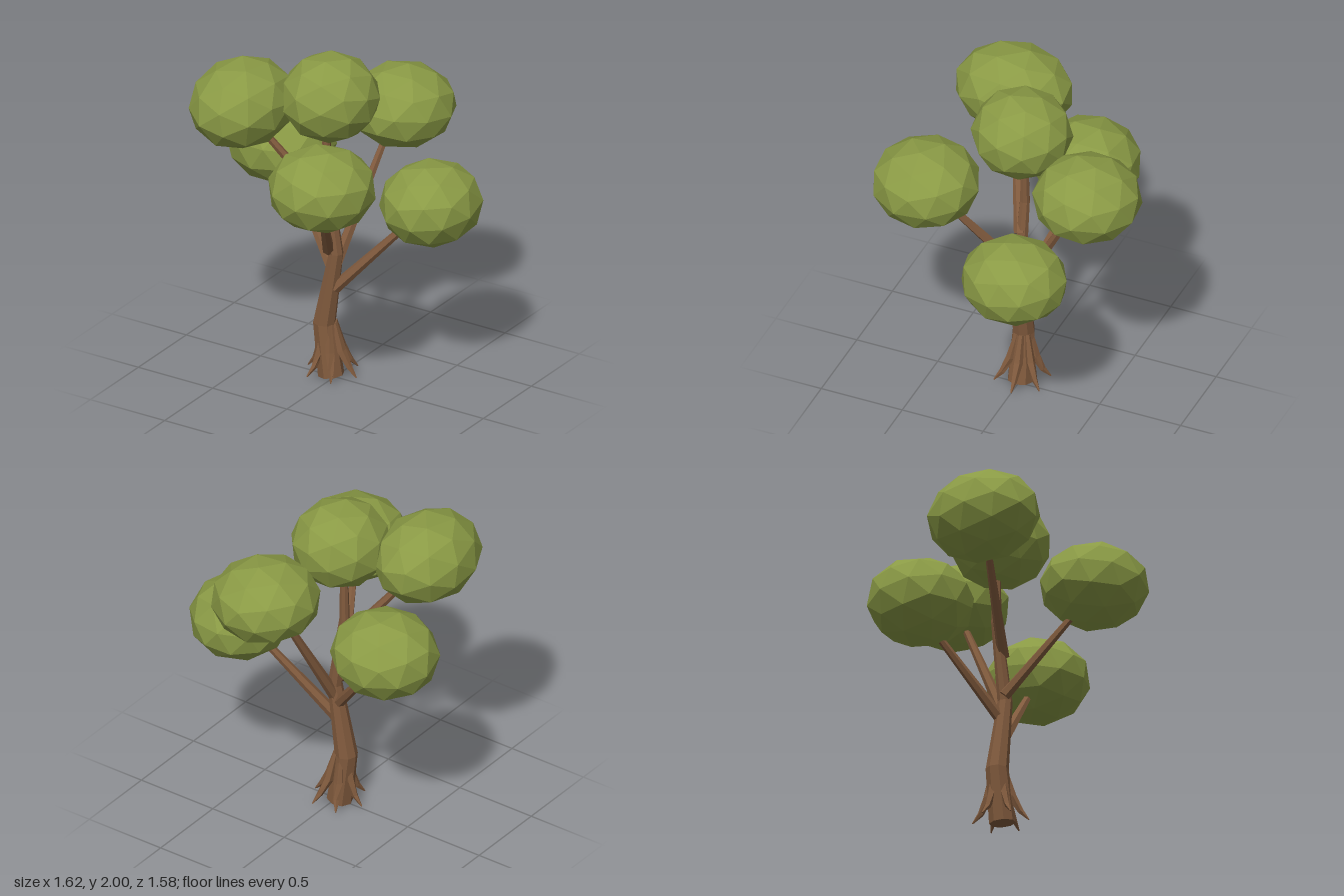
import * as THREE from 'three';

const bark = new THREE.MeshStandardMaterial({ color: 0x805a3d });
bark.name = 'bark brown';
const leaf = new THREE.MeshStandardMaterial({ color: 0x8a9a45 });
leaf.name = 'leaf green';

const UP = new THREE.Vector3(0, 1, 0);

// Faceted tapering limb: stops are [x, y, z, radius], capped at both ends
function limb(name, stops, sides) {
  const centres = stops.map(([x, y, z]) => new THREE.Vector3(x, y, z));
  const last = stops.length - 1;
  const rings = centres.map((c, i) => {
    const dir = centres[Math.min(i + 1, last)].clone().sub(centres[Math.max(i - 1, 0)]).normalize();
    const turn = new THREE.Quaternion().setFromUnitVectors(UP, dir);
    return Array.from({ length: sides }, (_, k) => {
      const a = (k / sides) * Math.PI * 2;
      return new THREE.Vector3(Math.cos(a), 0, Math.sin(a))
        .multiplyScalar(stops[i][3]).applyQuaternion(turn).add(c);
    });
  });
  const points = [];
  for (let k = 0; k < sides; k++) {
    const n = (k + 1) % sides;
    for (let i = 0; i < last; i++) {
      const low = rings[i], high = rings[i + 1];
      points.push(low[k], high[k], low[n], high[k], high[n], low[n]);
    }
    points.push(centres[0], rings[0][k], rings[0][n]);
    points.push(centres[last], rings[last][n], rings[last][k]);
  }
  const geometry = new THREE.BufferGeometry().setFromPoints(points);
  geometry.computeVertexNormals();
  const mesh = new THREE.Mesh(geometry, bark);
  mesh.name = name;
  return mesh;
}

// Faceted leaf clump, turned and then fitted to its centre and half sizes
function clump(name, centre, half, turn) {
  const geometry = new THREE.IcosahedronGeometry(1, 1);
  geometry.rotateX(turn).rotateY(turn * 2.3).rotateZ(turn * 0.7);
  geometry.center();
  geometry.computeBoundingBox();
  const { max } = geometry.boundingBox;
  geometry.scale(half[0] / max.x, half[1] / max.y, half[2] / max.z);
  geometry.translate(...centre);
  geometry.computeVertexNormals();
  const mesh = new THREE.Mesh(geometry, leaf);
  mesh.name = name;
  return mesh;
}

export function createModel() {
  const tree = new THREE.Group();
  tree.name = 'tree';

  // Bent trunk, running up into the top clump
  tree.add(limb('trunk', [
    [-0.025, 0.012, 0, 0.076],
    [-0.07, 0.33, 0, 0.066],
    [0.005, 0.78, -0.005, 0.043],
    [-0.065, 1.25, -0.01, 0.03],
    [-0.06, 1.65, -0.01, 0.02],
  ], 8));

  // Roots flaring out around the base
  const roots = new THREE.Group();
  roots.name = 'roots';
  for (let i = 0; i < 6; i++) {
    const a = (i / 6) * Math.PI * 2;
    const at = (r, y, radius, shift = 0) =>
      [-0.025 + shift + Math.cos(a) * r, y, -0.012 + Math.sin(a) * r, radius];
    roots.add(limb('root', [
      at(0.035, 0.335, 0.016, -0.02),
      at(0.07, 0.17, 0.028, -0.01),
      at(0.115, 0.08, 0.018),
      at(0.162, 0.025, 0.004),
    ], 5));
  }
  tree.add(roots);

  // Branches, each ending inside its clump
  const branches = [
    ['leftBranch', [0, 0.56, 0, 0.036], [0.48, 1.1, -0.19, 0.018]],
    ['rightBackBranch', [-0.02, 0.66, -0.01, 0.034], [-0.45, 1.18, -0.2, 0.018]],
    ['backBranch', [0, 0.7, -0.01, 0.036], [0.11, 1.46, -0.42, 0.018]],
    ['frontBranch', [-0.03, 0.8, 0.02, 0.035], [0.18, 1.33, 0.43, 0.018]],
    ['rightFrontBranch', [-0.015, 1.05, 0, 0.034], [-0.42, 1.6, 0.21, 0.018]],
  ];
  for (const [name, start, end] of branches) tree.add(limb(name, [start, end], 6));

  // Leaf clumps
  const clumps = [
    ['topClump', [-0.035, 1.75, -0.005], [0.275, 0.25, 0.285], 0.4],
    ['rightFrontClump', [-0.47, 1.7, 0.235], [0.275, 0.245, 0.335], 1.1],
    ['rightBackClump', [-0.495, 1.285, -0.21], [0.318, 0.245, 0.29], 1.9],
    ['backClump', [0.14, 1.555, -0.485], [0.31, 0.235, 0.305], 2.6],
    ['leftClump', [0.52, 1.15, -0.2], [0.29, 0.24, 0.302], 3.3],
    ['frontClump', [0.22, 1.435, 0.475], [0.3, 0.24, 0.313], 4.2],
  ];
  for (const spec of clumps) tree.add(clump(...spec));

  return tree;
}
